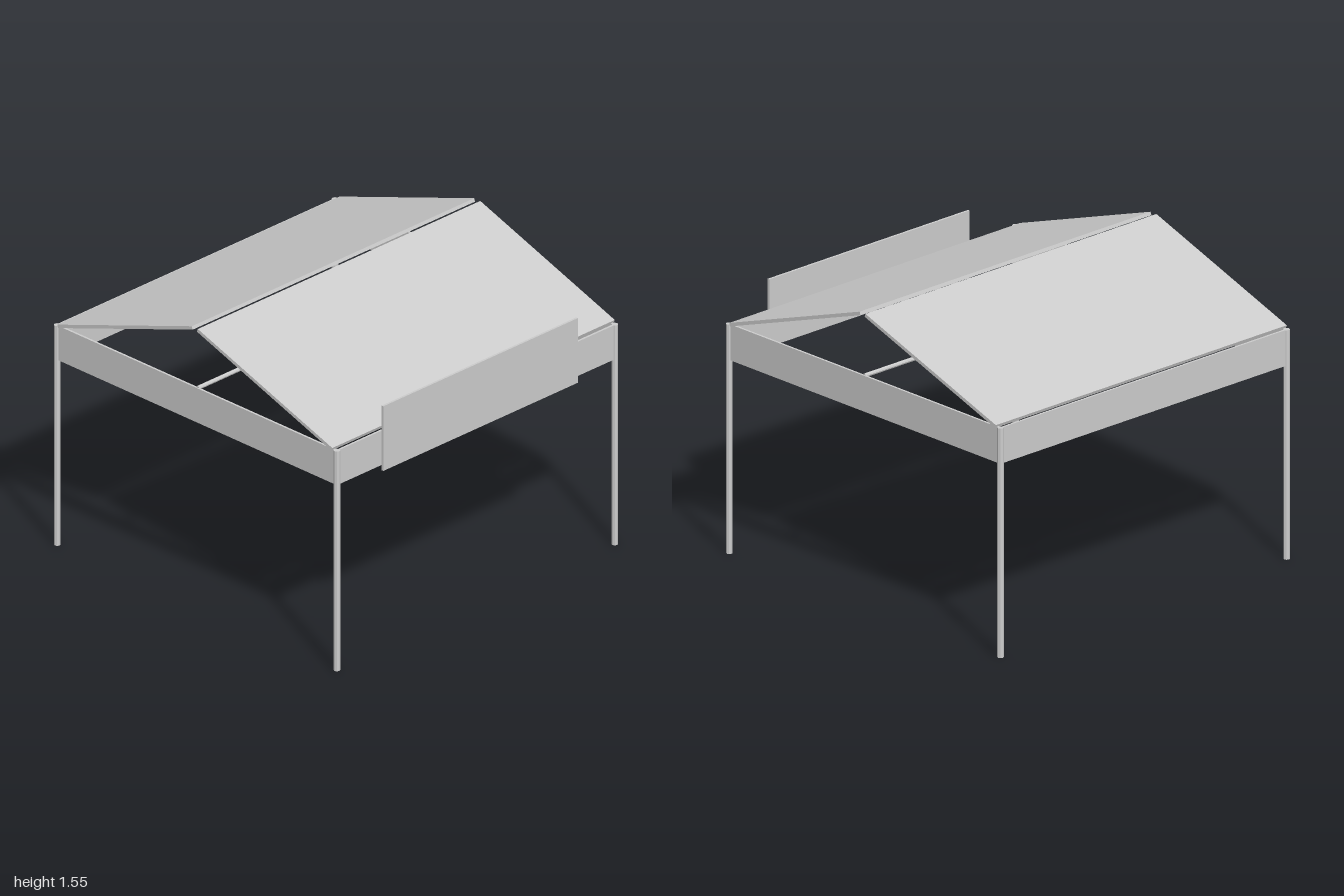
import * as THREE from 'three';

export function createModel() {
  const model = new THREE.Group();
  model.name = 'canopy';
  const grey = new THREE.MeshStandardMaterial({ color: 0xcccccc, flatShading: true });
  grey.name = 'light grey';

  const X = 0.974, MID = -0.008, HALF = 0.975; // post spacing and frame centre in z
  const add = (name, geometry, x, y, z) => {
    const mesh = new THREE.Mesh(geometry, grey);
    mesh.name = name;
    mesh.position.set(x, y, z);
    model.add(mesh);
    return mesh;
  };

  for (const s of [-1, 1]) {
    const side = s > 0 ? 'left' : 'right';
    const end = s > 0 ? 'front' : 'back';

    // Corner posts
    for (const t of [-1, 1]) {
      add(`${side}${t > 0 ? 'Front' : 'Back'}Post`,
        new THREE.CylinderGeometry(0.017, 0.017, 1.217, 8), s * X, 0.6085, MID + t * HALF);
    }

    // Fascia boards between the posts
    add(`${side}Fascia`, new THREE.BoxGeometry(0.012, 0.19, 2 * HALF), s * X, 1.122, MID);
    add(`${end}Fascia`, new THREE.BoxGeometry(2 * X, 0.19, 0.012), 0, 1.122, MID + s * HALF);

    // Sloping roof slab, open along the ridge
    const run = 0.938, rise = 0.325;
    const roof = add(`${end}Roof`,
      new THREE.BoxGeometry(1.98, 0.018, Math.hypot(run, rise)), 0, 1.383, MID + s * 0.487);
    roof.rotation.x = s * Math.atan2(rise, run);
  }

  // Tie bar under the ridge
  const bar = add('tieBar', new THREE.CylinderGeometry(0.011, 0.011, 2 * X, 8), 0, 1.215, MID + 0.004);
  bar.rotation.z = Math.PI / 2;

  // Blank sign board in front
  add('signBoard', new THREE.BoxGeometry(1.364, 0.358, 0.012), 0, 1.188, 0.994);

  return model;
}
